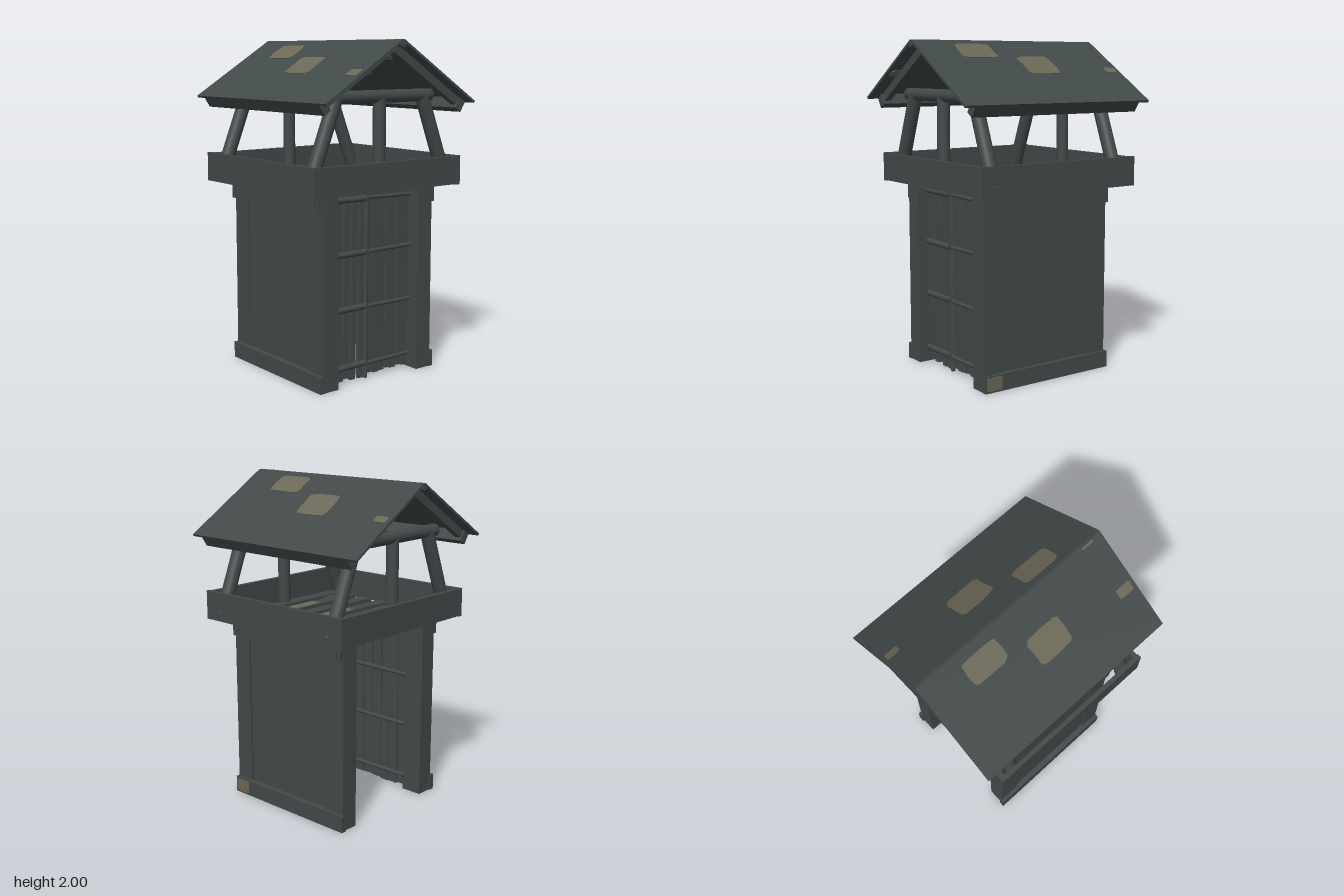
import * as THREE from 'three';

const dark = new THREE.MeshStandardMaterial({ color: 0x424949 });
dark.name = 'dark slate wood';
const tan = new THREE.MeshStandardMaterial({ color: 0x6b6857 });
tan.name = 'faded tan patch';

const V = (x, y, z) => new THREE.Vector3(x, y, z);
const UP = V(0, 1, 0);

// Small seeded random, -1 to 1
let seed = 7;
const jitter = () => {
  seed = (seed * 16807) % 2147483647;
  return (seed / 2147483647) * 2 - 1;
};

function add(parent, name, geometry, material = dark) {
  const mesh = new THREE.Mesh(geometry, material);
  mesh.name = name;
  parent.add(mesh);
  return mesh;
}

// Box given by its size and centre
function box(parent, name, size, at, material) {
  const mesh = add(parent, name, new THREE.BoxGeometry(...size), material);
  mesh.position.set(...at);
  return mesh;
}

// Piece running from point a to point b
function span(mesh, a, b) {
  mesh.position.copy(a).lerp(b, 0.5);
  mesh.quaternion.setFromUnitVectors(UP, b.clone().sub(a).normalize());
  return mesh;
}
const log = (parent, name, a, b, r) =>
  span(add(parent, name, new THREE.CylinderGeometry(r, r, a.distanceTo(b), 14)), a, b);
const board = (parent, name, a, b, w, d) =>
  span(add(parent, name, new THREE.BoxGeometry(w, a.distanceTo(b), d)), a, b);

// Thin ragged rounded plate lying flat, w along x and l along z
function patchGeometry(w, l) {
  const pts = [];
  for (let i = 0; i < 24; i++) {
    const t = (i / 24) * Math.PI * 2;
    const c = Math.cos(t), s = Math.sin(t), k = 1 + jitter() * 0.035;
    pts.push(new THREE.Vector2(
      Math.sign(c) * Math.abs(c) ** 0.3 * (w / 2) * k,
      Math.sign(s) * Math.abs(s) ** 0.3 * (l / 2) * k));
  }
  return new THREE.ExtrudeGeometry(new THREE.Shape(pts), { depth: 0.004, bevelEnabled: false })
    .rotateX(Math.PI / 2);
}

// Row of uneven upright slats tied to rungs, in the local xy plane
function slatPanel(name, x0, x1, count, fill, rungR) {
  const panel = new THREE.Group();
  panel.name = name;
  const pitch = (x1 - x0) / count;
  for (let i = 0; i < count; i++) {
    const x = x0 + pitch * (i + 0.5);
    board(panel, 'slat',
      V(x + jitter() * 0.008, 0.015 + jitter() * 0.012, 0),
      V(x + jitter() * 0.012, 1.13 + jitter() * 0.01, 0),
      pitch * (fill + jitter() * 0.08), 0.022);
  }
  for (const y of [0.09, 0.44, 0.77, 1.09])
    log(panel, 'rung', V(x0, y, 0.018), V(x1, y + jitter() * 0.006, 0.018), rungR);
  return panel;
}

export function createModel() {
  seed = 7;
  const model = new THREE.Group();
  model.name = 'watchtower';

  // Side walls with corner posts, sill, top rail and inner slats
  for (const s of [-1, 1]) {
    const wall = new THREE.Group();
    wall.name = s > 0 ? 'leftWall' : 'rightWall';
    model.add(wall);
    box(wall, 'frontPost', [0.11, 1.16, 0.12], [s * 0.36, 0.58, 0.388]);
    box(wall, 'backPost', [0.11, 1.16, 0.134], [s * 0.36, 0.58, -0.376]);
    box(wall, 'wallPanel', [0.03, 1.05, 0.66], [s * 0.388, 0.57, 0.004]);
    box(wall, 'sillBeam', [0.035, 0.1, 0.905], [s * 0.419, 0.05, 0]);
    box(wall, 'topRail', [0.035, 0.105, 0.88], [s * 0.425, 1.085, 0]);
    for (const z of [0.4, -0.405])
      box(wall, 'railPeg', [0.014, 0.075, 0.03], [s * 0.445, 1.09, z]);

    const lining = slatPanel('innerSlats', -0.32, 0.32, 9, 0.88, 0.013);
    lining.position.x = s * 0.33;
    lining.rotation.y = -s * Math.PI / 2;
    wall.add(lining);
  }

  // Worn patch at the front foot of the left sill
  const sillPatch = add(model, 'sillPatch', patchGeometry(0.08, 0.11), tan);
  sillPatch.rotation.z = -Math.PI / 2;
  sillPatch.position.set(0.439, 0.052, 0.392);

  // Two-leaf front door: a sparse leaf and a dense leaf
  const sparseLeaf = slatPanel('sparseDoorLeaf', -0.31, -0.05, 5, 0.74, 0.018);
  const denseLeaf = slatPanel('denseDoorLeaf', -0.03, 0.3, 7, 0.92, 0.012);
  for (const leaf of [sparseLeaf, denseLeaf]) {
    leaf.position.z = 0.36;
    model.add(leaf);
  }
  log(model, 'doorPole', V(-0.04, 0, 0.37), V(-0.035, 1.14, 0.37), 0.014);

  // Deck planks running side to side, with worn areas
  const deck = new THREE.Group();
  deck.name = 'deck';
  model.add(deck);
  for (let i = 0; i < 7; i++) {
    const z = -0.42 + i * 0.14;
    box(deck, 'plank', [0.92, 0.025, 0.085], [0, 1.155, z]).rotation.y = jitter() * 0.02;
    if (i % 2 === 1) {
      const worn = add(deck, 'wornPlank', patchGeometry(0.4, 0.075), tan);
      worn.position.set(jitter() * 0.22, 1.171, z);
    }
  }

  // Railing boards around the deck
  for (const s of [-1, 1]) {
    box(model, 'endRailing', [1.06, 0.17, 0.03], [0, 1.225, s * 0.53]);
    box(model, 'sideRailing', [0.027, 0.175, 1.1], [s * 0.536, 1.225, 0]);
  }

  // Roof supports at both ends
  for (const z of [0.445, -0.44]) {
    const frame = new THREE.Group();
    frame.name = 'roofFrame';
    model.add(frame);
    for (const s of [-1, 1])
      log(frame, 'slantedPost', V(s * 0.515, 1.18, z), V(s * 0.325, 1.67, z), 0.042);
    log(frame, 'centrePost', V(-0.005, 1.15, z), V(-0.005, 1.67, z), 0.038);
    log(frame, 'tieBeam', V(-0.4, 1.677, z), V(0.385, 1.677, z), 0.038);
  }

  // Roof slopes; patches are [x, z, width, length] in plan
  const ridgeX = -0.012, ridgeGap = 0.008;
  const angle = Math.atan2(0.35, 0.555), cos = Math.cos(angle);
  const patches = {
    '-1': [[-0.13, -0.285, 0.12, 0.235], [-0.25, 0.065, 0.145, 0.23],
      [-0.305, 0.58, 0.05, 0.1], [-0.028, 0.55, 0.012, 0.08]],
    '1': [[0.225, -0.075, 0.155, 0.23], [0.095, 0.28, 0.125, 0.24], [0.275, -0.585, 0.042, 0.085]],
  };
  for (const s of [-1, 1]) {
    const length = (0.555 - s * ridgeX) / cos;
    const slope = new THREE.Group();
    slope.name = s > 0 ? 'leftRoofSlope' : 'rightRoofSlope';
    slope.position.set(ridgeX, 2.001, 0);
    slope.rotation.z = -s * angle;
    model.add(slope);
    box(slope, 'roofPanel', [length - ridgeGap, 0.014, 1.308],
      [s * (length + ridgeGap) / 2, -0.007, 0]);
    box(slope, 'eavePurlin', [0.05, 0.068, 1.17], [s * (length - 0.03), -0.048, 0]);
    for (const z of [0.555, -0.555])
      box(slope, 'rafter', [length - 0.05, 0.048, 0.04], [s * length / 2, -0.038, z]);
    for (const [x, z, w, l] of patches[s]) {
      const geometry = patchGeometry(w / cos, l);
      for (const y of [0.003, -0.014])
        add(slope, 'roofPatch', geometry, tan).position.set((x - ridgeX) / cos, y, z);
    }
  }
  log(model, 'ridgePole', V(-0.012, 1.973, -0.655), V(-0.012, 1.973, 0.655), 0.02);

  return model;
}
